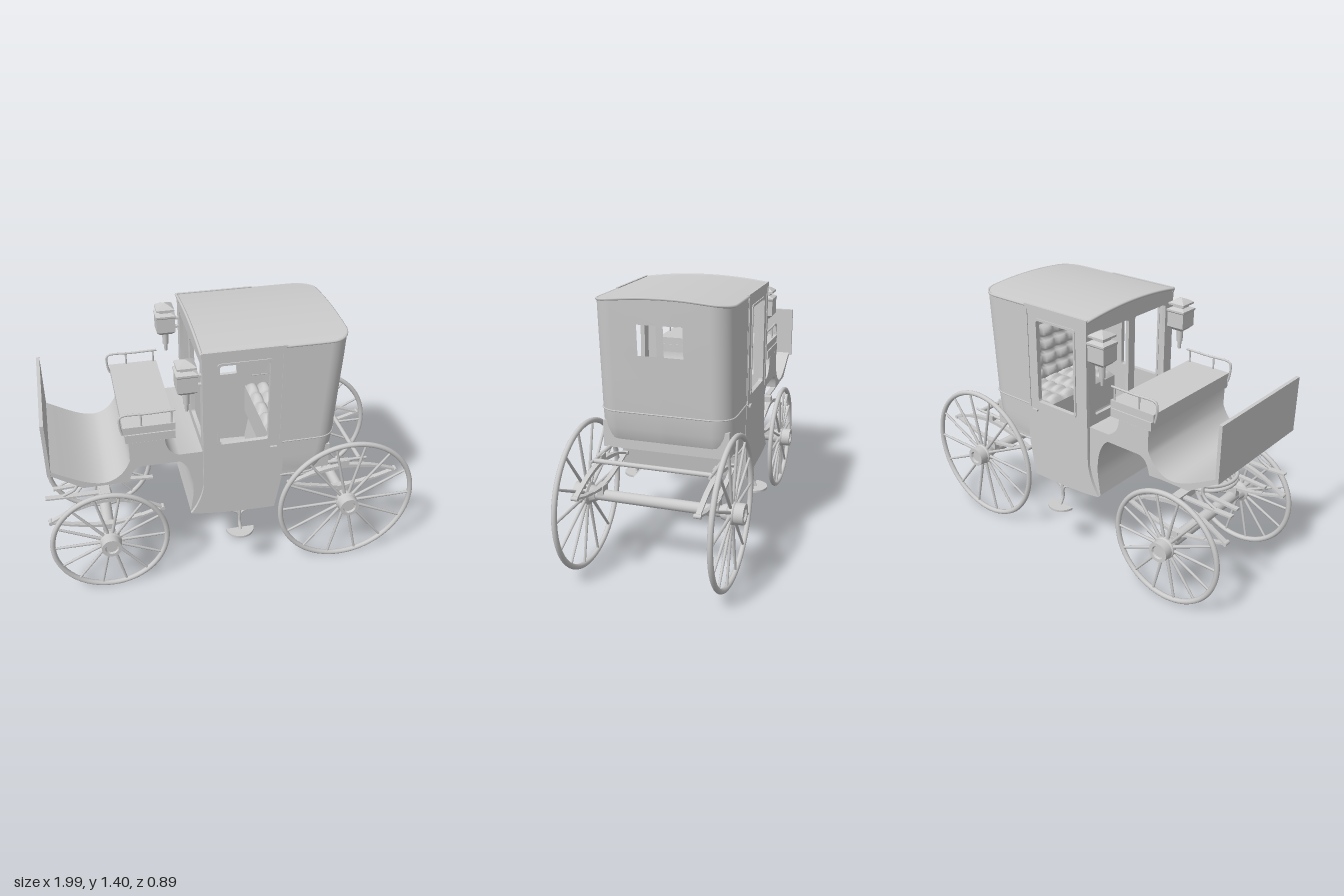
import * as THREE from 'three';
import { toCreasedNormals } from 'three/addons/utils/BufferGeometryUtils.js';

const mat = new THREE.MeshStandardMaterial({ color: 0xcccccc, side: THREE.DoubleSide });
const V = (x, y, z) => new THREE.Vector3(x, y, z);
const crown = z => 1.37 + 0.027 * (1 - (z / 0.35) ** 2);

export function createModel() {
  const root = new THREE.Group();
  const add = (name, geo, x = 0, y = 0, z = 0, parent = root) => {
    const m = new THREE.Mesh(geo, mat);
    m.name = name;
    m.position.set(x, y, z);
    parent.add(m);
    return m;
  };
  const box = (name, w, h, d, x, y, z) => add(name, new THREE.BoxGeometry(w, h, d), x, y, z);
  const both = f => [1, -1].forEach(f);
  // Surface through rows of points; skip(row, column) leaves openings
  const loft = (rows, skip = () => false) => {
    const n = rows[0].length, index = [];
    for (let i = 0; i < rows.length - 1; i++) for (let j = 0; j < n - 1; j++) {
      if (skip(i, j)) continue;
      const a = i * n + j;
      index.push(a, a + 1, a + n, a + 1, a + n + 1, a + n);
    }
    const g = new THREE.BufferGeometry().setFromPoints(rows.flat());
    g.setIndex(index);
    g.computeVertexNormals();
    return g;
  };
  // Outline in x/y extruded across z, centred
  const slab = (shape, depth) => {
    const g = new THREE.ExtrudeGeometry(shape, { depth, bevelEnabled: false, curveSegments: 10 });
    g.translate(0, 0, -depth / 2);
    return toCreasedNormals(g, 0.6);
  };
  const spline = pts => new THREE.CatmullRomCurve3(pts.map(p => V(p[0], p[1], p[2] || 0)));
  const tube = (name, pts, r, n = 24) => add(name, new THREE.TubeGeometry(spline(pts), n, r, 8));
  // Curved flat bar of given thickness and width
  const strip = (pts, t, width) => {
    const c = spline(pts).getPoints(20);
    const s = new THREE.Shape([...c, ...c.slice().reverse().map(p => V(p.x, p.y - t, 0))]
      .map(p => new THREE.Vector2(p.x, p.y)));
    return slab(s, width);
  };
  const roundHole = (x0, x1, y0, y1, r) => {
    const p = new THREE.Path();
    p.moveTo(x0 + r, y0).lineTo(x1 - r, y0).quadraticCurveTo(x1, y0, x1, y0 + r);
    p.lineTo(x1, y1 - r).quadraticCurveTo(x1, y1, x1 - r, y1);
    p.lineTo(x0 + r, y1).quadraticCurveTo(x0, y1, x0, y1 - r);
    p.lineTo(x0, y0 + r).quadraticCurveTo(x0, y0, x0 + r, y0);
    return p;
  };

  // Door sides with window openings and the deep belly
  const side = new THREE.Shape();
  side.moveTo(-0.18, 1.372).lineTo(-0.18, 0.6);
  side.quadraticCurveTo(-0.195, 0.5, -0.25, 0.43);
  side.quadraticCurveTo(-0.1, 0.4, 0.205, 0.4);
  side.lineTo(0.24, 0.605).lineTo(0.24, 1.372);
  side.holes.push(roundHole(-0.095, 0.155, 0.855, 1.305, 0.015));
  const frame = new THREE.Shape(roundHole(-0.107, 0.167, 0.843, 1.317, 0.02).getPoints(6));
  frame.holes.push(roundHole(-0.095, 0.155, 0.855, 1.305, 0.015));
  both(s => {
    add('doorSide', slab(side, 0.016), 0, 0, s * 0.34);
    add('doorWindowFrame', slab(frame, 0.024), 0, 0, s * 0.341);
    box('doorPillar', 0.01, 0.56, 0.012, 0.222, 1.09, s * 0.346);
    box('frontPillar', 0.022, 0.56, 0.012, -0.169, 1.09, s * 0.345);
    box('doorHandle', 0.035, 0.01, 0.014, 0.185, 0.8, s * 0.352);
  });

  // Rounded rear body with two small windows
  const plan = (xb, w, r) => {
    const half = [[0.23, w]];
    for (let i = 0; i <= 8; i++) {
      const a = i / 8 * Math.PI / 2;
      half.push([xb - r + r * Math.sin(a), w - r + r * Math.cos(a)]);
    }
    half.push([xb, 0.115], [xb, 0.018]);
    return [...half, ...half.slice().reverse().map(([x, z]) => [x, -z])];
  };
  const profile = [[0.605, 0.46], [0.63, 0.483], [0.67, 0.503], [0.73, 0.519], [0.82, 0.53],
    [1.0, 0.541], [1.117, 0.548], [1.27, 0.558], [1.37, 0.563]];
  const rear = profile.map(([y, xb], i) => plan(xb, i < 2 ? 0.34 : 0.346, 0.1)
    .map(([x, z]) => V(x, i === 8 ? crown(z) : y, z)));
  add('rearBody', loft(rear, (i, j) => i === 6 && (j === 10 || j === 12)));
  const around = (name, xb, y, r) => add(name, new THREE.TubeGeometry(
    new THREE.CatmullRomCurve3(plan(xb, 0.347, 0.1).map(([x, z]) => V(x, y ?? crown(z), z))), 90, r, 6));
  around('beltMoulding', 0.531, 0.82, 0.004);
  around('rearRoofTrim', 0.561, null, 0.007);
  around('bottomMoulding', 0.462, 0.608, 0.006);

  // Front wall with two tall panes, drawn in z/y and turned across the carriage
  const front = new THREE.Shape();
  front.moveTo(-0.345, 0.6).lineTo(0.345, 0.6);
  for (let i = 0; i <= 12; i++) front.lineTo(0.345 - i / 12 * 0.69, crown(0.345 - i / 12 * 0.69));
  front.holes.push(roundHole(0.025, 0.285, 0.86, 1.3, 0.015), roundHole(-0.285, -0.025, 0.86, 1.3, 0.015));
  add('frontWall', slab(front, 0.02), -0.17, 0, 0).rotation.y = Math.PI / 2;

  // Crowned roof
  const roof = [-0.184, 0, 0.3, 0.464, 0.49, 0.515, 0.535, 0.55, 0.56, 0.564].map(x => {
    const w = 0.252 + (x > 0.464 ? Math.sqrt(Math.max(0, 0.01 - (x - 0.464) ** 2)) : 0.1);
    return Array.from({ length: 17 }, (_, i) => V(x, crown(w * (i / 8 - 1)) + 0.004, w * (i / 8 - 1)));
  });
  add('roof', loft(roof));
  both(s => box('roofSideTrim', 0.42, 0.026, 0.012, 0.026, 1.367, s * 0.346));
  tube('roofFrontTrim', Array.from({ length: 9 }, (_, i) => [-0.182, crown(i / 4 * 0.35 - 0.35), i / 4 * 0.35 - 0.35]), 0.008);

  // Belly floor and interior seat
  const floor = [[-0.25, 0.432], [-0.1, 0.413], [0.205, 0.402], [0.24, 0.607], [0.38, 0.607], [0.46, 0.607]];
  add('floor', toCreasedNormals(loft(floor.map(([x, y], i) => {
    const w = i === 5 ? 0.25 : 0.338;
    return [V(x, y, -w), V(x, y, w)];
  })), 0.5));
  box('seatBase', 0.26, 0.14, 0.66, 0.37, 0.685, 0);
  const tuft = f => loft(Array.from({ length: 25 }, (_, i) => Array.from({ length: 41 }, (_, j) => {
    const u = i / 24, v = j / 40;
    return f(u, v * 0.64 - 0.32, 0.035 * Math.sqrt(Math.abs(Math.sin(u * 4 * Math.PI) * Math.sin(v * 6 * Math.PI))));
  })));
  add('seatCushion', tuft((u, z, b) => V(0.2 + u * 0.28, 0.77 + b, z)));
  add('seatBack', tuft((u, z, b) => V(0.465 + u * 0.035 - b, 0.78 + u * 0.32, z)));
  box('seatFront', 0.02, 0.17, 0.64, 0.21, 0.685, 0);

  // Driver's box, curved footboard and arched underside in one body
  const boot = new THREE.Shape();
  boot.moveTo(-0.175, 0.81).lineTo(-0.3, 0.81);
  boot.quadraticCurveTo(-0.365, 0.83, -0.37, 0.915);
  boot.lineTo(-0.55, 0.915).lineTo(-0.55, 0.81);
  boot.bezierCurveTo(-0.59, 0.71, -0.66, 0.695, -0.69, 0.695);
  boot.bezierCurveTo(-0.77, 0.695, -0.86, 0.76, -0.955, 0.81);
  boot.lineTo(-0.955, 0.785).lineTo(-0.79, 0.68).lineTo(-0.56, 0.68);
  boot.quadraticCurveTo(-0.545, 0.765, -0.49, 0.767);
  boot.lineTo(-0.3, 0.767);
  boot.bezierCurveTo(-0.25, 0.74, -0.22, 0.64, -0.235, 0.53);
  boot.lineTo(-0.25, 0.432).lineTo(-0.175, 0.42);
  add('driverBoxAndFootboard', slab(boot, 0.66));
  box('dashboard', 0.018, 0.295, 0.69, -0.95, 0.935, 0);
  box('driverSeat', 0.25, 0.045, 0.66, -0.44, 0.938, 0);
  box('driverCushion', 0.26, 0.04, 0.65, -0.443, 0.982, 0);
  both(s => {
    tube('seatRail', [[-0.575, 0.96, s * 0.315], [-0.584, 1.0, s * 0.315], [-0.584, 1.055, s * 0.315],
      [-0.57, 1.067, s * 0.315], [-0.45, 1.067, s * 0.315], [-0.31, 1.07, s * 0.315]], 0.006, 50);
    [-0.48, -0.33].forEach(x => add('railPost', new THREE.CylinderGeometry(0.005, 0.005, 0.08, 8), x, 1.03, s * 0.315));
  });

  // Carriage lamps: square lantern bodies with a stem below
  const lampProfile = [[0, 1.345], [0.025, 1.335], [0.048, 1.32], [0.048, 1.31], [0.03, 1.305], [0.03, 1.295],
    [0.054, 1.285], [0.054, 1.275], [0.05, 1.27], [0.05, 1.19], [0.03, 1.17], [0, 1.17]];
  both(s => {
    const lamp = new THREE.Group();
    lamp.name = 'lamp';
    lamp.position.set(-0.255, 0, s * 0.32);
    root.add(lamp);
    const pts = lampProfile.map(([r, y]) => new THREE.Vector2(r * Math.SQRT2, y));
    add('lantern', toCreasedNormals(new THREE.LatheGeometry(pts, 4), 0.3), 0, 0, 0, lamp).rotation.y = Math.PI / 4;
    add('lampStem', new THREE.CylinderGeometry(0.018, 0.016, 0.07, 12), 0, 1.137, 0, lamp);
    add('lampTip', new THREE.CylinderGeometry(0.012, 0.008, 0.05, 12), 0, 1.085, 0, lamp);
    [1.2, 1.25].forEach(y => add('lampBracket', new THREE.BoxGeometry(0.05, 0.012, 0.02), 0.06, y, 0, lamp));
  });

  // Half-round entry steps
  both(s => {
    const step = add('step', new THREE.CylinderGeometry(0.076, 0.076, 0.012, 24, 1, false, -Math.PI / 2, Math.PI), 0.016, 0.275, s * 0.342);
    if (s < 0) step.rotation.y = Math.PI;
    const z = s * 0.335;
    tube('stepStem', [[0.016, 0.27, s * 0.36], [0.016, 0.32, z], [0.016, 0.36, z], [0.016, 0.41, z]], 0.009);
    both(k => tube('stepBrace', [[0.016, 0.355, z], [0.016 + k * 0.015, 0.385, z], [0.016 + k * 0.05, 0.402, z]], 0.007));
  });

  // Wheels with rim, tapered spokes and turned hub, plus axles
  const hub = [[0, -0.05], [0.035, -0.05], [0.045, -0.02], [0.058, -0.012], [0.058, 0.012], [0.053, 0.018],
    [0.053, 0.065], [0.035, 0.065], [0.03, 0.055], [0, 0.055]].map(p => new THREE.Vector2(...p));
  const axle = (x, r, z, n, ra) => {
    both(s => {
      const wheel = new THREE.Group();
      wheel.name = x < 0 ? 'frontWheel' : 'rearWheel';
      wheel.position.set(x, r + 0.005, s * z);
      if (s < 0) wheel.rotation.y = Math.PI;
      root.add(wheel);
      add('rim', new THREE.TorusGeometry(r - 0.014, 0.014, 10, 72), 0, 0, 0, wheel);
      add('hub', toCreasedNormals(new THREE.LatheGeometry(hub, 28), 0.6), 0, 0, 0, wheel).rotation.x = Math.PI / 2;
      for (let i = 0; i < n; i++) {
        const spoke = new THREE.CylinderGeometry(0.0065, 0.009, r - 0.06, 8);
        spoke.translate(0, (r + 0.02) / 2, 0);
        add('spoke', spoke, 0, 0, 0, wheel).rotation.z = (i + 0.5) / n * Math.PI * 2;
      }
    });
    add('axle', new THREE.CylinderGeometry(ra, ra, z * 2 - 0.06, 20), x, r + 0.005, 0).rotation.x = Math.PI / 2;
  };
  axle(-0.685, 0.315, 0.345, 14, 0.032);
  axle(0.605, 0.387, 0.378, 14, 0.029);

  // Elliptic leaf springs and their carriers
  const spring = (x, half, yEnd, yTop, yLow, z, axleY) => {
    [[yTop, 0.011], [yLow, 0.011]].forEach(([y, t]) => {
      add('springLeaf', strip([[x - half, yEnd], [x - half / 2, yEnd + (y - yEnd) * 0.72], [x, y],
        [x + half / 2, yEnd + (y - yEnd) * 0.72], [x + half, yEnd]], t, 0.025), 0, 0, z);
      add('shortLeaf', strip([[x - half * 0.6, yEnd + (y - yEnd) * 0.55], [x, y - 0.01],
        [x + half * 0.6, yEnd + (y - yEnd) * 0.55]], 0.009, 0.025), 0, 0, z);
    });
    both(k => add('springEye', new THREE.CylinderGeometry(0.011, 0.011, 0.035, 12), x + k * half, yEnd - 0.005, z).rotation.x = Math.PI / 2);
    box('springBlock', 0.06, yLow - axleY, 0.035, x, (yLow + axleY) / 2, z);
  };
  both(s => {
    spring(0.605, 0.305, 0.51, 0.585, 0.45, s * 0.3, 0.4);
    spring(-0.685, 0.295, 0.445, 0.55, 0.385, s * 0.27, 0.33);
    const rod = add('rearCarrier', new THREE.CylinderGeometry(0.007, 0.012, 0.34, 10), 0.56, 0.612, s * 0.3);
    rod.rotation.z = -Math.PI / 2;
    box('carrierBlock', 0.05, 0.04, 0.03, 0.605, 0.595, s * 0.3);
    // Front footplates and scroll irons
    add('footPlate', strip([[-0.99, 0.587], [-0.85, 0.583], [-0.72, 0.583]], 0.009, 0.03), 0, 0, s * 0.25);
    tube('scrollIron', [[-0.885, 0.735, s * 0.25], [-0.835, 0.7, s * 0.25], [-0.82, 0.65, s * 0.25],
      [-0.84, 0.615, s * 0.25], [-0.9, 0.585, s * 0.25]], 0.008);
    add('frontFrameBar', strip([[-0.95, 0.55], [-0.685, 0.56], [-0.42, 0.545]], 0.011, 0.025), 0, 0, s * 0.13);
  });
  add('rearCrossBar', new THREE.CylinderGeometry(0.012, 0.012, 0.6, 12), 0.69, 0.612, 0).rotation.x = Math.PI / 2;

  // Front turntable and kingpin
  [0.575, 0.6].forEach(y => {
    add('turntableRing', new THREE.TorusGeometry(0.15, 0.01, 8, 40), -0.685, y, 0).rotation.x = Math.PI / 2;
  });
  add('kingpin', new THREE.CylinderGeometry(0.028, 0.028, 0.15, 16), -0.685, 0.615, 0);
  box('frontBolster', 0.05, 0.035, 0.56, -0.685, 0.563, 0);
  box('upperBolster', 0.06, 0.03, 0.5, -0.685, 0.665, 0);
  both(s => box('bolsterPost', 0.03, 0.1, 0.03, -0.685, 0.62, s * 0.15));
  return root;
}
